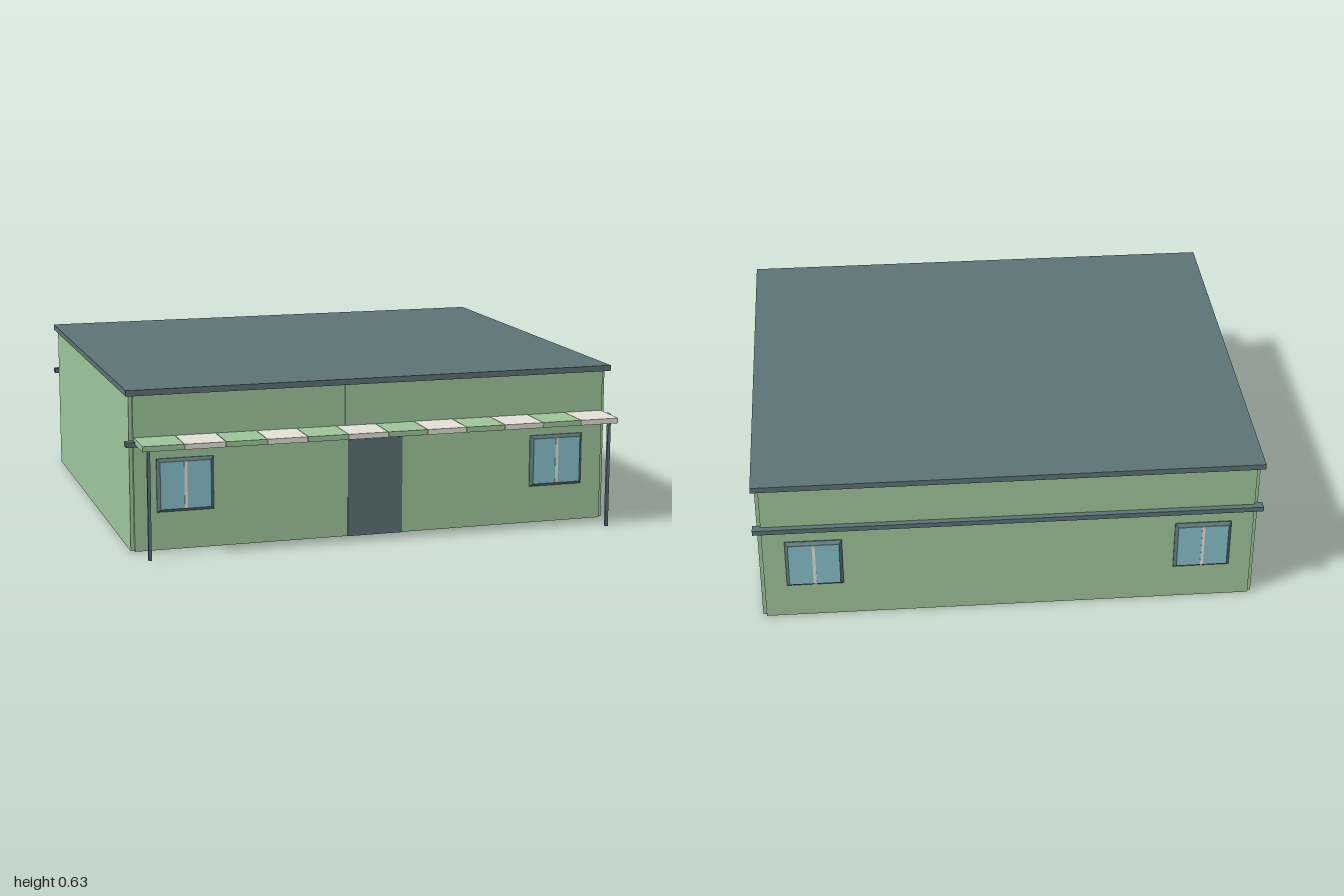
import * as THREE from 'three';

const mat = (name, color) => {
  const m = new THREE.MeshStandardMaterial({ color });
  m.name = name;
  return m;
};

export function createModel() {
  const green = mat('wall green', 0x9ec59b);
  const slate = mat('slate trim', 0x5c7376);
  const cream = mat('cream', 0xe2e0d6);
  const glass = mat('window blue', 0x88bfcc);
  const brown = mat('floor taupe', 0xb0a296);

  const model = new THREE.Group();
  model.name = 'building';

  // Box given by its limits on each axis
  const box = (name, material, [x0, x1], [y0, y1], [z0, z1], parent = model) => {
    const mesh = new THREE.Mesh(new THREE.BoxGeometry(x1 - x0, y1 - y0, z1 - z0), material);
    mesh.position.set((x0 + x1) / 2, (y0 + y1) / 2, (z0 + z1) / 2);
    mesh.name = name;
    parent.add(mesh);
  };

  // Walls with stepped corners, around the floor
  const wallY = [0, 0.615];
  box('frontWall', green, [-0.968, 0.968], wallY, [0.74, 0.77]);
  box('backWall', green, [-0.968, 0.968], wallY, [-0.917, -0.887]);
  box('leftWall', green, [0.95, 0.982], wallY, [-0.904, 0.757]);
  box('rightWall', green, [-0.982, -0.95], wallY, [-0.904, 0.757]);
  box('floor', brown, [-0.955, 0.955], [0.001, 0.02], [-0.89, 0.745]);

  // Flat roof slab
  box('roof', slate, [-0.996, 0.996], [0.612, 0.635], [-0.936, 0.787]);

  // Trim bands along the front and back
  box('frontBand', slate, [-1, 1], [0.415, 0.435], [0.757, 0.795]);
  box('backBand', slate, [-1, 1], [0.415, 0.435], [-0.94, -0.904]);

  // Entrance: raised centre panel, jambs, door and lintel plate
  box('entrancePanelUpper', green, [-0.124, 0.124], [0.39, 0.612], [0.76, 0.773]);
  for (const x of [-0.1185, 0.1185]) {
    box('doorJamb', green, [x - 0.0055, x + 0.0055], [0, 0.39], [0.76, 0.773]);
  }
  box('door', slate, [-0.113, 0.113], [0, 0.39], [0.76, 0.775]);
  box('lintelPlate', cream, [-0.118, 0.118], [0.392, 0.412], [0.77, 0.775]);

  // Striped awning
  const awning = new THREE.Group();
  awning.name = 'awning';
  model.add(awning);
  const stripes = 12, half = 0.966, w = (2 * half) / stripes, gap = 0.001;
  for (let i = 0; i < stripes; i++) {
    const x = -half + i * w;
    box('awningStripe', i % 2 ? cream : green, [x + gap, x + w - gap], [0.427, 0.448], [0.76, 0.938], awning);
  }

  // Awning posts
  for (const x of [-0.938, 0.938]) {
    box('awningPost', slate, [x - 0.006, x + 0.006], [0, 0.428], [0.903, 0.915]);
  }

  // Window: chamfered frame with a nearly flush pane and a centre bar, facing +z
  const paneX = 0.1, paneY = 0.093;
  const frameShape = new THREE.Shape([
    new THREE.Vector2(-paneX, -paneY), new THREE.Vector2(paneX, -paneY),
    new THREE.Vector2(paneX, paneY), new THREE.Vector2(-paneX, paneY),
  ]);
  const frameGeo = new THREE.ExtrudeGeometry(frameShape, {
    depth: 0.004, bevelEnabled: true, bevelSize: 0.012, bevelThickness: 0.011, bevelSegments: 1,
  });
  const addWindow = (x, z, turn) => {
    const win = new THREE.Group();
    win.name = 'window';
    const frame = new THREE.Mesh(frameGeo, slate);
    frame.name = 'windowFrame';
    win.add(frame);
    box('windowPane', glass, [-paneX, paneX], [-paneY, paneY], [0.012, 0.0165], win);
    box('windowBar', cream, [-0.006, 0.006], [-paneY, paneY], [0.012, 0.0185], win);
    win.position.set(x, 0.256, z);
    win.rotation.y = turn;
    model.add(win);
  };
  for (const x of [-0.768, 0.768]) {
    addWindow(x, 0.771, 0);
    addWindow(x, -0.918, Math.PI);
  }

  return model;
}
